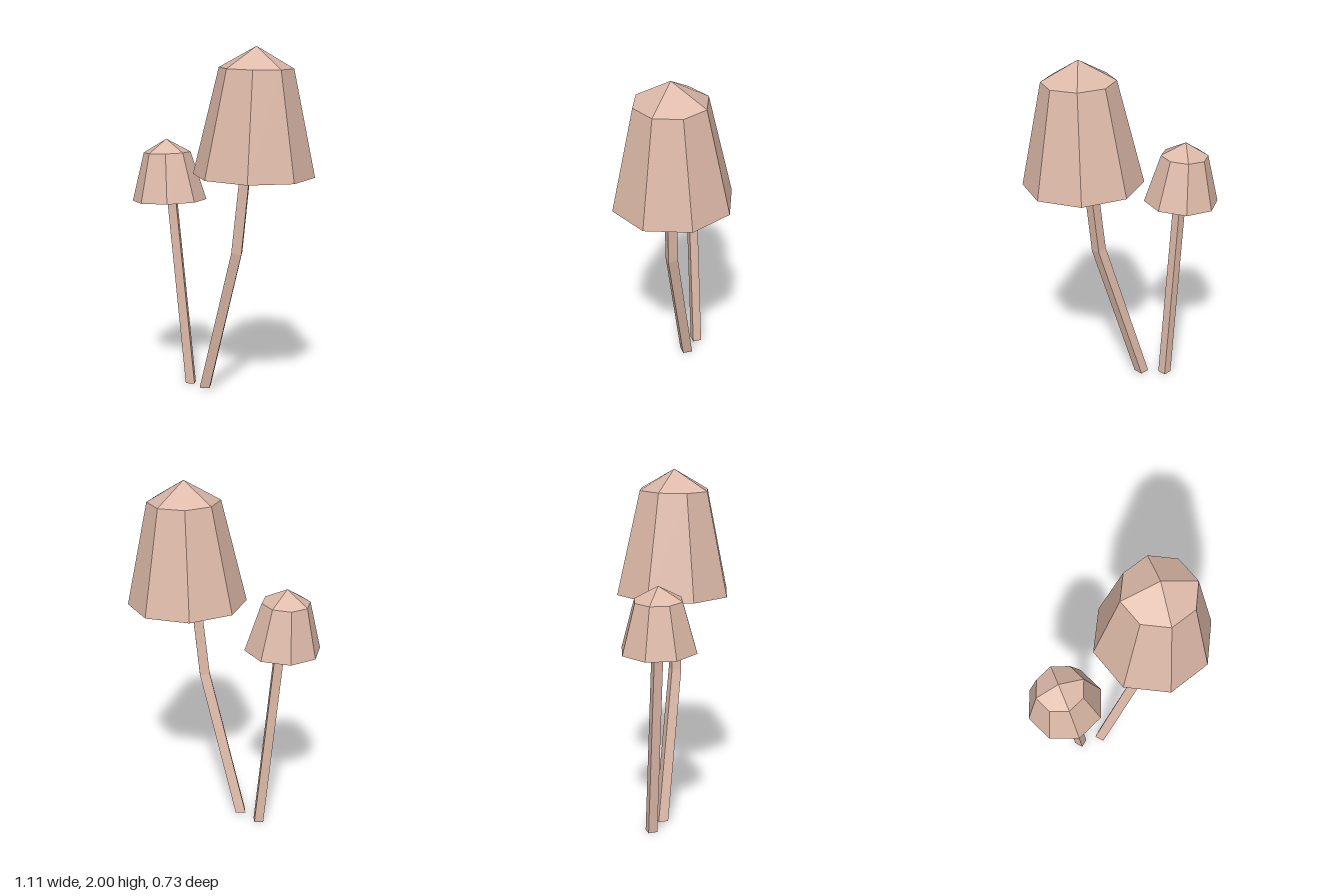
import * as THREE from 'three';

const flesh = new THREE.MeshStandardMaterial({ color: 0xdebaa9, side: THREE.DoubleSide });
flesh.name = 'pale mushroom flesh';

// Horizontal ring of n points round (x, y, z), turned by `turn`, rising along x by `tilt`
function ring(n, [x, y, z], r, turn = 0, tilt = 0) {
  return Array.from({ length: n }, (_, i) => {
    const a = turn + (i / n) * Math.PI * 2;
    const dx = r * Math.cos(a);
    return new THREE.Vector3(x + dx, y + tilt * dx, z + r * Math.sin(a));
  });
}

// Side quads between a lower and an upper ring
function band(low, high) {
  return low.map((p, i) => {
    const j = (i + 1) % low.length;
    return [low[j], p, high[i], high[j]];
  });
}

// Mesh of quads, each with one flat normal
function quadMesh(name, quads) {
  const pos = [], nor = [];
  for (const [a, b, c, d] of quads) {
    const n = c.clone().sub(a).cross(d.clone().sub(b)).normalize();
    for (const p of [a, b, c, a, c, d]) {
      pos.push(p.x, p.y, p.z);
      nor.push(n.x, n.y, n.z);
    }
  }
  const g = new THREE.BufferGeometry();
  g.setAttribute('position', new THREE.Float32BufferAttribute(pos, 3));
  g.setAttribute('normal', new THREE.Float32BufferAttribute(nor, 3));
  const mesh = new THREE.Mesh(g, flesh);
  mesh.name = name;
  return mesh;
}

// Hollow eight-sided bell, its top made of four broad facets
function cap({ rim, rimR, shoulder, shoulderR, apex, turn, tilt }) {
  const low = ring(8, rim, rimR, turn, tilt);
  const high = ring(8, shoulder, shoulderR, turn, tilt);
  const tip = new THREE.Vector3(...apex);
  const quads = band(low, high);
  for (let i = 0; i < 8; i += 2) quads.push([tip, high[(i + 2) % 8], high[i + 1], high[i]]);
  return quadMesh('cap', quads);
}

// Four-sided stem through sections [centre, radius, tilt]
function stem(sections) {
  const rings = sections.map(([c, r, tilt]) => ring(4, c, r, 0, tilt));
  const quads = [rings[0], [...rings[rings.length - 1]].reverse()];
  for (let i = 1; i < rings.length; i++) quads.push(...band(rings[i - 1], rings[i]));
  return quadMesh('stem', quads);
}

function mushroom(name, stemSections, capSpec) {
  const g = new THREE.Group();
  g.name = name;
  g.add(stem(stemSections), cap(capSpec));
  return g;
}

export function createModel() {
  const model = new THREE.Group();
  model.name = 'mushrooms';
  model.add(
    mushroom('tallMushroom', [
      [[-0.121, 0.01, 0.06], 0.041, 0],
      [[0.132, 0.855, 0.025], 0.04, -0.22],
      [[0.232, 1.86, -0.025], 0.036, -0.03],
    ], {
      rim: [0.213, 1.294, -0.028], rimR: 0.338,
      shoulder: [0.23, 1.883, -0.03], shoulderR: 0.205,
      apex: [0.231, 2, -0.03], turn: 0, tilt: -0.025,
    }),
    mushroom('shortMushroom', [
      [[-0.262, 0, 0.062], 0.037, 0],
      [[-0.351, 1.37, 0.153], 0.035, 0.03],
    ], {
      rim: [-0.342, 1.107, 0.149], rimR: 0.215,
      shoulder: [-0.358, 1.386, 0.152], shoulderR: 0.136,
      apex: [-0.363, 1.463, 0.154], turn: -0.103, tilt: 0.04,
    }),
  );
  return model;
}
